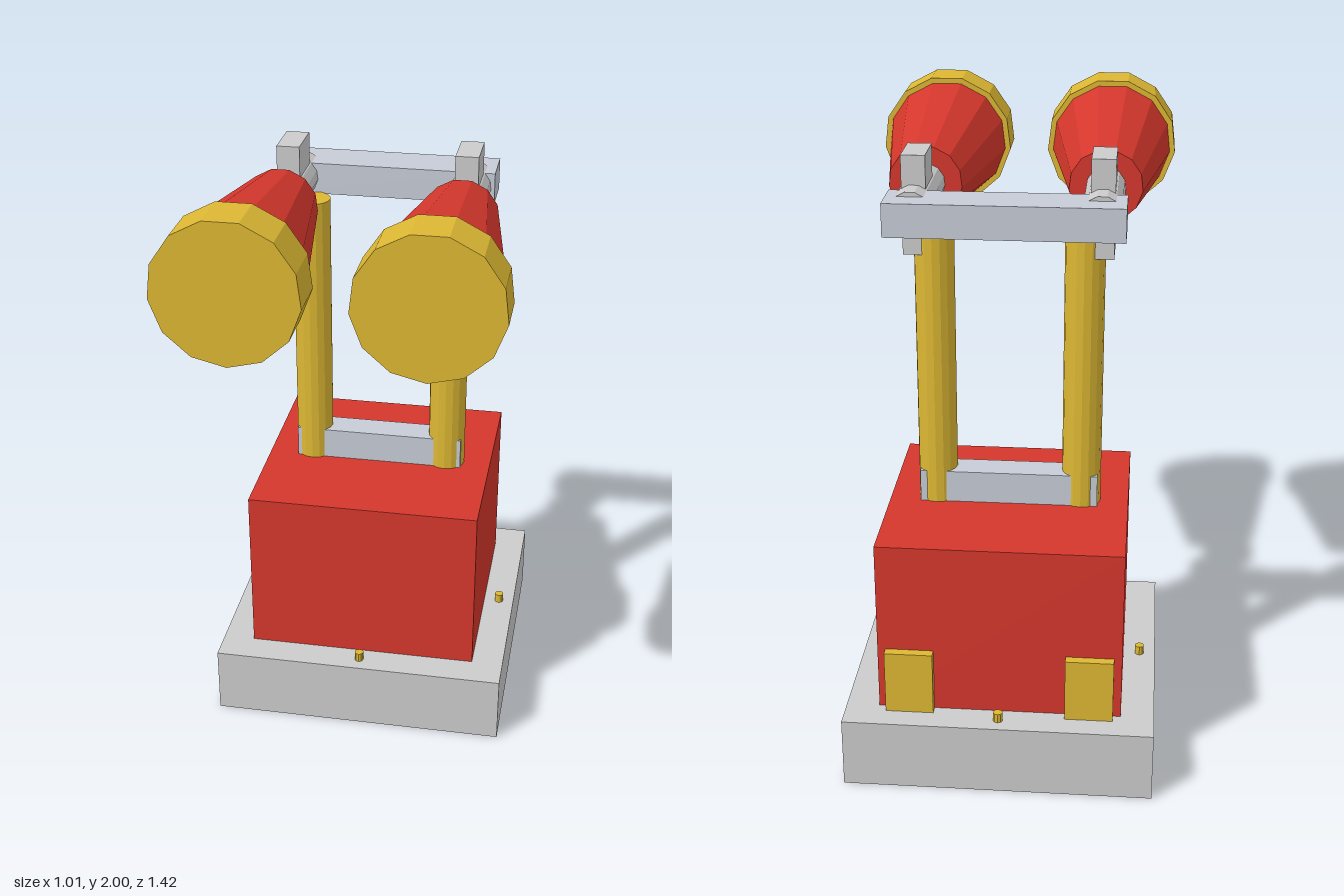
import * as THREE from 'three';

const mat = (color) => new THREE.MeshStandardMaterial({ color, flatShading: true });

export function createModel() {
  const root = new THREE.Group();
  const grey = mat(0xcccccc), red = mat(0xd5372c), gold = mat(0xdcb733), steel = mat(0xc7ccd7);

  const add = (name, geometry, material, parent = root) => {
    const mesh = new THREE.Mesh(geometry, material);
    mesh.name = name;
    parent.add(mesh);
    return mesh;
  };
  // Box given by its limits on each axis
  const box = (name, [x0, x1], [y0, y1], [z0, z1], material, parent) =>
    add(name, new THREE.BoxGeometry(x1 - x0, y1 - y0, z1 - z0), material, parent)
      .position.set((x0 + x1) / 2, (y0 + y1) / 2, (z0 + z1) / 2);
  // Upright cylinder from y0 to y1
  const post = (name, x, z, r, y0, y1, sides, material, parent) =>
    add(name, new THREE.CylinderGeometry(r, r, y1 - y0, sides), material, parent)
      .position.set(x, (y0 + y1) / 2, z);
  // Horizontal tapered cylinder from z0 (radius r0) to z1 (radius r1)
  const barrel = (name, x, y, z0, r0, z1, r1, material, parent) =>
    add(name, new THREE.CylinderGeometry(r1, r0, z1 - z0, 13).rotateX(Math.PI / 2), material, parent)
      .position.set(x, y, (z0 + z1) / 2);

  // Plinth and housing
  box('base', [-0.49, 0.49], [0, 0.23], [-0.71, 0.27], grey);
  box('housing', [-0.385, 0.385], [0.23, 0.8], [-0.605, 0.165], red);

  // Bolts in the middle of each side of the plinth
  for (const [x, z] of [[0, 0.217], [0, -0.658], [0.438, -0.22], [-0.438, -0.22]])
    post('bolt', x, z, 0.015, 0.22, 0.26, 10, gold);

  // Cross bars between the posts
  box('lowerCrossBar', [-0.285, 0.285], [0.79, 0.905], [-0.27, -0.17], steel);
  box('upperCrossBar', [-0.358, 0.358], [1.73, 1.833], [-0.428, -0.275], steel);

  // Mirrored posts, horns and hinges
  for (const side of [-1, 1]) {
    const x = side * 0.284, y = 1.786;
    const name = side > 0 ? 'left' : 'right';
    post(name + 'Post', side * 0.232, -0.217, 0.0625, 0.79, 1.735, 16, gold);

    const horn = new THREE.Group();
    horn.name = name + 'Horn';
    root.add(horn);
    barrel('shaft', x, y, -0.35, 0.0625, 0, 0.0625, grey, horn);
    box('clamp', [x - 0.037, x + 0.037], [1.63, 1.938], [-0.27, -0.118], grey, horn);
    barrel('cone', x, y, -0.012, 0.117, 0.56, 0.203, red, horn);
    barrel('cap', x, y, 0.555, 0.2205, 0.707, 0.2205, gold, horn);

    // Plate on the back of the housing
    box(name + 'BackPlate', [x - 0.076, x + 0.076], [0.23, 0.44], [-0.635, -0.6], gold);
  }
  return root;
}
